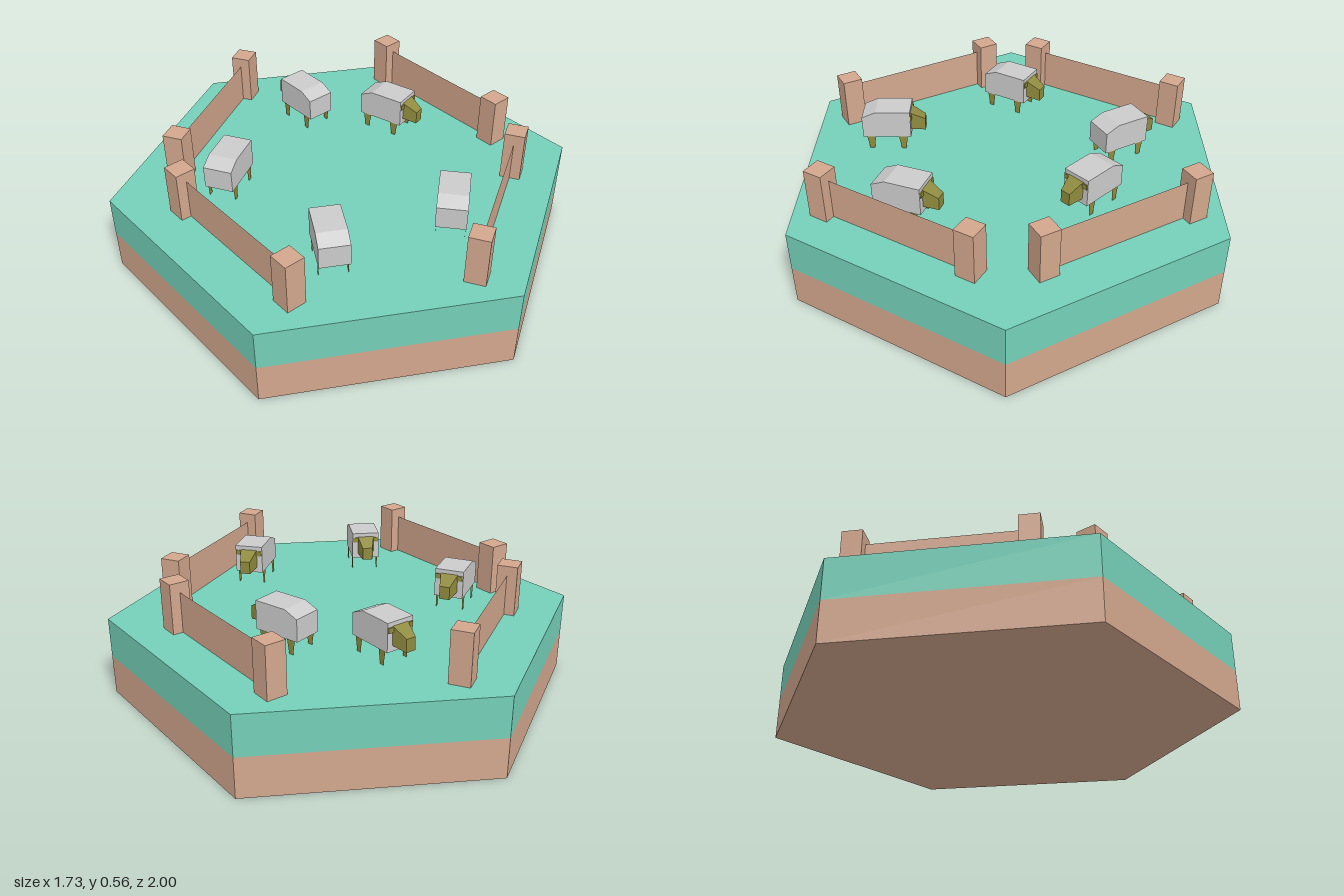
import * as THREE from 'three';

const mat = (color) => new THREE.MeshStandardMaterial({ color, flatShading: true, side: THREE.DoubleSide });
const green = mat(0x74d0b8), clay = mat(0xd3a78d), wool = mat(0xd5d3d3), olive = mat(0x8f8a3e);

const GROUND = 0.347;

function add(parent, name, geometry, material, x = 0, y = 0, z = 0) {
  const mesh = new THREE.Mesh(geometry, material);
  mesh.name = name;
  mesh.position.set(x, y, z);
  parent.add(mesh);
  return mesh;
}

// Two posts joined by a thin panel
function fence([x1, z1], [x2, z2]) {
  const g = new THREE.Group();
  g.name = 'fence';
  const length = Math.hypot(x2 - x1, z2 - z1);
  for (const s of [-1, 1]) {
    add(g, 'fencePost', new THREE.BoxGeometry(0.086, 0.218, 0.086), clay, s * length / 2, 0.109, 0);
  }
  add(g, 'fencePanel', new THREE.PlaneGeometry(length, 0.176), clay, 0, 0.088, 0);
  g.position.set((x1 + x2) / 2, GROUND, (z1 + z2) / 2);
  g.rotation.y = -Math.atan2(z2 - z1, x2 - x1);
  return g;
}

// Head: box tapering and drooping toward the muzzle
function headGeometry() {
  const geo = new THREE.BoxGeometry(0.074, 0.08, 0.062);
  const p = geo.attributes.position;
  for (let i = 0; i < p.count; i++) {
    if (p.getZ(i) < 0) p.setXY(i, p.getX(i) * 0.6, p.getY(i) * 0.7 - 0.024);
  }
  geo.computeVertexNormals();
  return geo;
}

// Sheep facing -z, feet at y = 0
function sheep(x, z, degrees) {
  const g = new THREE.Group();
  g.name = 'sheep';

  // Body: side profile with a sloped rump, extruded across the width
  const profile = new THREE.Shape([
    [-0.105, 0.062], [0.105, 0.062], [0.105, 0.157], [0.045, 0.184], [-0.105, 0.184],
  ].map(([a, b]) => new THREE.Vector2(a, b)));
  const body = new THREE.ExtrudeGeometry(profile, { depth: 0.124, bevelEnabled: false });
  body.translate(0, 0, -0.062).rotateY(-Math.PI / 2);
  add(g, 'body', body, wool);

  add(g, 'head', headGeometry(), olive, 0, 0.127, -0.136);

  // Flat tapered legs on the flanks, and small ears
  const legShape = new THREE.Shape([[-0.02, 0.064], [-0.01, 0], [0.01, 0], [0.02, 0.064]]
    .map(([a, b]) => new THREE.Vector2(a, b)));
  for (const s of [-1, 1]) {
    for (const end of [-1, 1]) {
      const leg = add(g, 'leg', new THREE.ShapeGeometry(legShape), olive, s * 0.058, 0, end * 0.07);
      leg.rotation.y = Math.PI / 2;
    }
    add(g, 'ear', new THREE.BoxGeometry(0.026, 0.022, 0.006), olive, s * 0.046, 0.153, -0.107);
  }

  g.position.set(x, GROUND, z);
  g.rotation.y = THREE.MathUtils.degToRad(degrees);
  return g;
}

export function createModel() {
  const model = new THREE.Group();
  model.name = 'sheepPasture';

  // Hexagonal ground in two layers
  const layer = GROUND / 2;
  add(model, 'soil', new THREE.CylinderGeometry(1, 1, layer, 6), clay, 0, layer / 2, 0);
  add(model, 'grass', new THREE.CylinderGeometry(1, 1, layer, 6), green, 0, layer * 1.5, 0);

  // Fences
  [
    [[-0.06, -0.815], [0.54, -0.47]],
    [[0.68, -0.24], [0.68, 0.455]],
    [[0.06, 0.803], [-0.538, 0.457]],
    [[-0.665, 0.233], [-0.665, -0.46]],
  ].forEach(([a, b]) => model.add(fence(a, b)));

  // Flock: x, z, heading
  [
    [-0.43, 0.245, 0],
    [0.125, 0.547, 30],
    [0.515, 0.183, 10],
    [0.06, -0.43, -105],
    [-0.315, -0.365, 60],
  ].forEach((s) => model.add(sheep(...s)));

  return model;
}
